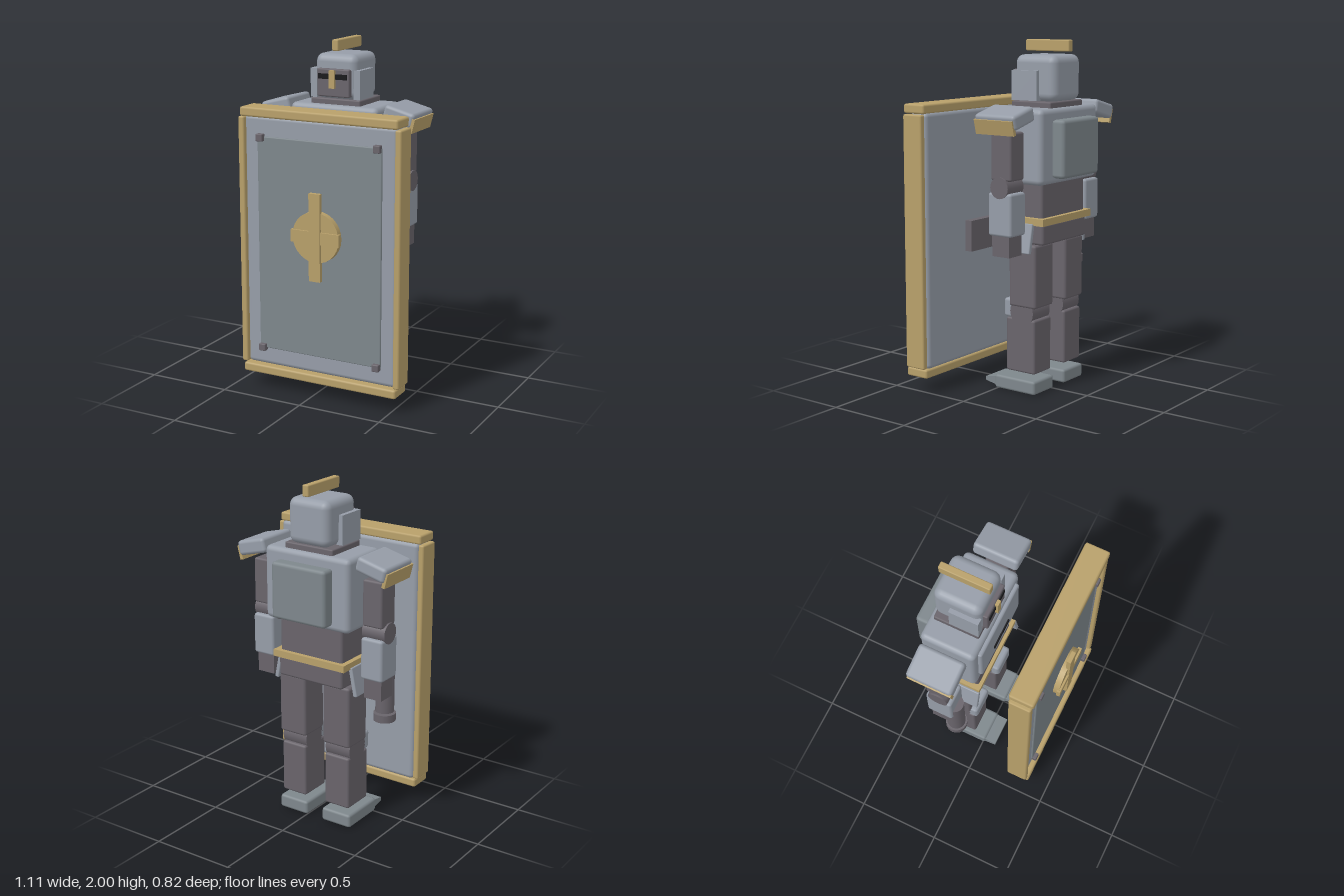
import * as THREE from 'three';
import { RoundedBoxGeometry } from 'three/addons/geometries/RoundedBoxGeometry.js';

const mat = (color) => new THREE.MeshStandardMaterial({ color });
const steel = mat(0x969da8), plate = mat(0x7e878c), dark = mat(0x69646b);
const gold = mat(0xb8a06a), black = mat(0x17171a);

function add(parent, name, geometry, material, x, y, z) {
  const mesh = new THREE.Mesh(geometry, material);
  mesh.name = name;
  mesh.position.set(x, y, z);
  parent.add(mesh);
  return mesh;
}

// Box given by its ranges; r > 0 bevels the edges
function box(parent, name, material, [x0, x1], [y0, y1], [z0, z1], r = 0, seg = 1) {
  const w = x1 - x0, h = y1 - y0, d = z1 - z0;
  const g = r ? new RoundedBoxGeometry(w, h, d, seg, r) : new THREE.BoxGeometry(w, h, d);
  return add(parent, name, g, material, (x0 + x1) / 2, (y0 + y1) / 2, (z0 + z1) / 2);
}

// Range of width w around centre c
const span = (c, w) => [c - w / 2, c + w / 2];

function buildTorso(k) {
  box(k, 'chest', steel, span(0, 0.56), [1.21, 1.63], [-0.333, -0.01], 0.03, 2);
  box(k, 'breastplate', steel, span(0, 0.465), [1.3, 1.6], [-0.03, 0.013], 0.012);
  box(k, 'breastSlot', black, span(0, 0.18), [1.387, 1.412], [0.005, 0.02]);
  box(k, 'backPlate', plate, span(0, 0.357), [1.245, 1.57], [-0.412, -0.325], 0.02);
  box(k, 'neckCollar', dark, span(0, 0.317), [1.61, 1.662], [-0.307, -0.04], 0.008);
  box(k, 'abdomen', dark, span(0, 0.42), [1.0, 1.22], [-0.29, -0.03], 0.015);
  box(k, 'belt', gold, span(0, 0.48), [0.98, 1.02], [-0.317, -0.01]);
  box(k, 'pelvis', dark, span(0, 0.43), [0.865, 0.985], [-0.3, -0.03], 0.015);
}

function buildHead(k) {
  box(k, 'helmet', steel, span(0, 0.267), [1.66, 1.918], [-0.318, -0.037], 0.045, 3);
  box(k, 'facePlate', dark, span(0, 0.208), [1.677, 1.836], [-0.06, -0.012], 0.008);
  box(k, 'visorSlit', black, span(0, 0.182), [1.778, 1.808], [-0.03, -0.006]);
  box(k, 'noseGuard', gold, span(0, 0.034), [1.727, 1.83], [-0.02, 0.006]);
  box(k, 'crest', gold, span(0, 0.04), [1.935, 2], [-0.333, -0.037], 0.007);
  for (const s of [-1, 1])
    box(k, 'cheekGuard', steel, span(s * 0.139, 0.04), [1.665, 1.832], [-0.212, -0.04]);
}

function buildArm(k, s) {
  const x = s * 0.368;
  const pad = add(k, 'shoulderPad', new RoundedBoxGeometry(0.19, 0.085, 0.271, 2, 0.02), steel, s * 0.397, 1.59, -0.172);
  const trim = add(k, 'shoulderTrim', new THREE.BoxGeometry(0.02, 0.083, 0.257), gold, s * 0.481, 1.543, -0.168);
  pad.rotation.z = trim.rotation.z = -s * 0.25;
  box(k, 'upperArm', dark, span(x, 0.125), [1.245, 1.51], [-0.238, -0.1], 0.012);
  const elbow = add(k, 'elbow', new THREE.CylinderGeometry(0.06, 0.06, 0.145, 20), dark, x, 1.207, -0.165);
  elbow.rotation.z = Math.PI / 2;
  box(k, 'forearm', steel, span(x, 0.14), [0.937, 1.178], [-0.243, -0.085], 0.015);
  box(k, 'hand', dark, span(x, 0.112), [0.822, 0.945], [-0.222, -0.105]);
}

function buildLeg(k, s) {
  const x = s * 0.15;
  box(k, 'thigh', dark, span(x, 0.18), [0.5, 0.865], [-0.265, -0.08], 0.015);
  const knee = add(k, 'knee', new THREE.CylinderGeometry(0.08, 0.08, 0.165, 20), dark, x, 0.47, -0.165);
  knee.rotation.z = Math.PI / 2;
  box(k, 'kneeCap', steel, span(x, 0.165), [0.43, 0.542], [-0.11, -0.038], 0.018);
  box(k, 'shin', dark, span(x, 0.165), [0.117, 0.432], [-0.255, -0.057], 0.012);
  box(k, 'foot', plate, span(x, 0.195), [0, 0.08], [-0.265, 0.018], 0.015);

  // Toe: box narrowed in height towards the tip
  const toe = new THREE.BoxGeometry(0.181, 0.055, 0.085);
  const p = toe.attributes.position;
  for (let i = 0; i < p.count; i++) if (p.getZ(i) > 0) p.setY(i, p.getY(i) * 0.42);
  toe.computeVertexNormals();
  add(k, 'toe', toe, plate, x, 0.043, 0.042);

  // Hip plate flaring outwards
  const hip = add(k, 'hipPlate', new RoundedBoxGeometry(0.025, 0.17, 0.245, 1, 0.006), steel, s * 0.255, 0.905, -0.13);
  hip.rotation.z = s * 0.2;
}

function buildShield() {
  const g = new THREE.Group();
  g.name = 'shield';
  const cx = 0.051, cy = 0.87;
  box(g, 'shieldBoard', steel, span(cx, 0.95), [0.145, 1.605], [0.23, 0.352], 0.025, 2);
  box(g, 'shieldPanel', plate, span(cx, 0.772), [0.25, 1.49], [0.34, 0.362], 0.006);
  box(g, 'topRail', gold, span(cx, 0.975), [1.598, 1.652], [0.237, 0.383], 0.012);
  box(g, 'bottomRail', gold, span(cx, 0.975), [0.092, 0.145], [0.237, 0.383], 0.012);
  for (const s of [-1, 1]) {
    box(g, 'sideRail', gold, span(cx + s * 0.485, 0.038), [0.148, 1.595], [0.243, 0.374], 0.01);
    for (const t of [-1, 1])
      box(g, 'stud', dark, span(cx + s * 0.363, 0.042), span(cy + t * 0.615, 0.042), [0.35, 0.385], 0.005);
  }
  const boss = add(g, 'boss', new THREE.CylinderGeometry(0.145, 0.145, 0.04, 28), gold, cx, 0.96, 0.377);
  boss.rotation.x = Math.PI / 2;
  box(g, 'crossUpright', gold, span(cx, 0.07), span(0.96, 0.5), [0.385, 0.41]);
  box(g, 'crossBar', gold, span(cx, 0.302), span(0.96, 0.07), [0.385, 0.408]);
  box(g, 'shieldGrip', dark, span(cx, 0.27), [0.782, 0.962], [0.185, 0.24]);
  return g;
}

export function createModel() {
  const model = new THREE.Group();
  model.name = 'shieldKnight';

  const knight = new THREE.Group();
  knight.name = 'knight';
  knight.position.x = -0.057;
  buildTorso(knight);
  buildHead(knight);
  for (const s of [-1, 1]) {
    buildArm(knight, s);
    buildLeg(knight, s);
  }
  // Hilt held in the right hand
  add(knight, 'hilt', new THREE.CylinderGeometry(0.054, 0.054, 0.325, 16), dark, -0.372, 0.878, -0.1);
  add(knight, 'pommel', new THREE.CylinderGeometry(0.064, 0.064, 0.045, 16), dark, -0.372, 0.684, -0.1);

  model.add(knight, buildShield());
  return model;
}
